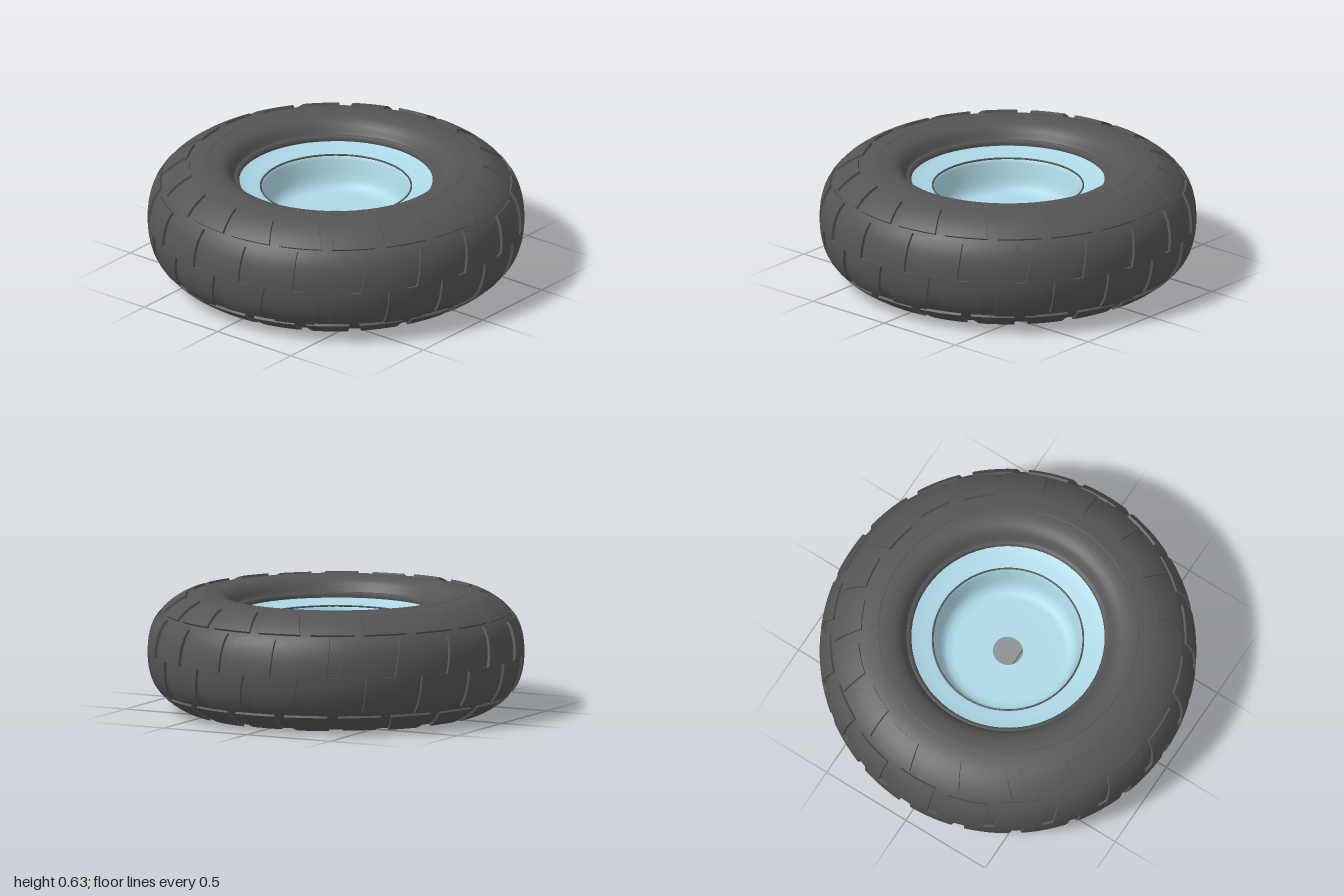
import * as THREE from 'three';
import { mergeGeometries } from 'three/addons/utils/BufferGeometryUtils.js';

const MID = 0.317; // height of the wheel's middle plane
const LIFT = 0.014; // how far the tread stands out
const rubber = new THREE.MeshStandardMaterial({ color: 0x555555, side: THREE.DoubleSide });
const paint = new THREE.MeshStandardMaterial({ color: 0xadd8e6, side: THREE.DoubleSide });

// Upper half of the tyre section: radius, height above the middle plane
const half = [[0.98, 0.08], [0.957, 0.155], [0.915, 0.212], [0.86, 0.258], [0.79, 0.295],
  [0.70, 0.314], [0.62, 0.311], [0.57, 0.285], [0.545, 0.245], [0.51, 0.2]];
const section = new THREE.SplineCurve([
  ...half.slice().reverse().map(([r, h]) => new THREE.Vector2(r, MID - h)),
  new THREE.Vector2(0.986, MID),
  ...half.map(([r, h]) => new THREE.Vector2(r, MID + h)),
]);

function add(group, name, geometry, material) {
  const mesh = new THREE.Mesh(geometry, material);
  mesh.name = name;
  group.add(mesh);
  return mesh;
}

// A box wrapped onto the tyre section between t0..t1, centred on an angle
function treadBlock(t0, t1, angle, width, skew, taper) {
  const geo = new THREE.BoxGeometry(1, 1, 1, 5, 6, 1);
  const pos = geo.attributes.position;
  for (let i = 0; i < pos.count; i++) {
    const v = pos.getY(i) + 0.5;
    const t = t0 + (t1 - t0) * v;
    const p = section.getPointAt(t);
    const d = section.getTangentAt(t);
    const top = pos.getZ(i) > 0;
    const lift = top ? LIFT : -0.03;
    const w = width * (1 - taper * v) * (top ? 0.96 : 1);
    const a = angle + pos.getX(i) * w + skew * v;
    const r = p.x + d.y * lift;
    pos.setXYZ(i, r * Math.sin(a), p.y - d.x * lift, r * Math.cos(a));
  }
  geo.computeVertexNormals();
  return geo;
}

function blockRing(count, t0, t1, offset, fill, skew, taper) {
  const pitch = (Math.PI * 2) / count;
  const blocks = [];
  for (let i = 0; i < count; i++) {
    // alternate blocks reach a little further
    const extra = i % 2 ? 0.012 : 0;
    blocks.push(treadBlock(t0, t1 + extra, (i + offset) * pitch, pitch * fill, skew, taper));
  }
  return mergeGeometries(blocks);
}

function ring(group, name, radius, tube, y, material) {
  const mesh = add(group, name, new THREE.TorusGeometry(radius, tube, 6, 64), material);
  mesh.rotation.x = Math.PI / 2;
  mesh.position.y = y;
}

// Turn a blocks geometry over about the middle plane, half a pitch along
function flipped(geo, turn) {
  return geo.rotateX(Math.PI).translate(0, MID * 2, 0).rotateY(turn);
}

export function createModel() {
  const wheel = new THREE.Group();
  wheel.name = 'wheel';

  // Tyre
  const tire = new THREE.Group();
  tire.name = 'tire';
  wheel.add(tire);
  add(tire, 'tireCarcass', new THREE.LatheGeometry(section.getSpacedPoints(60), 72), rubber);

  const N = 20;
  const turn = Math.PI / N;
  const centre = () => blockRing(N, 0.5, 0.638, 0, 0.86, 0.03, 0.12);
  const shoulder = () => blockRing(N, 0.662, 0.765, 0.5, 0.84, -0.02, 0.14);
  add(tire, 'upperCentreTread', centre(), rubber);
  add(tire, 'lowerCentreTread', flipped(centre(), turn), rubber);
  add(tire, 'upperShoulderTread', shoulder(), rubber);
  add(tire, 'lowerShoulderTread', flipped(shoulder(), turn), rubber);

  // Rim: floor with fillet, sloped barrel, flange; the same on both sides
  const rim = new THREE.Group();
  rim.name = 'rim';
  wheel.add(rim);
  const rimHalf = [[0.08, 0], [0.08, 0.008], [0.08, 0.008], [0.29, 0.008], [0.325, 0.014], [0.35, 0.032],
    [0.365, 0.062], [0.375, 0.1], [0.39, 0.165], [0.398, 0.184], [0.41, 0.19], [0.45, 0.195],
    [0.49, 0.204], [0.52, 0.215]];
  for (const side of [1, -1]) {
    const label = side > 0 ? 'upper' : 'lower';
    const pts = rimHalf.map(([r, h]) => new THREE.Vector2(r, MID - 0.005 + side * h));
    add(rim, label + 'Rim', new THREE.LatheGeometry(side > 0 ? pts : pts.reverse(), 60), paint);
    ring(rim, label + 'RimSeam', 0.4, 0.005, MID - 0.005 + side * 0.187, rubber);
    // Raised lines on the sidewall and at the bead
    ring(tire, label + 'SidewallLine', 0.69, 0.004, MID + side * 0.313, rubber);
    ring(tire, label + 'Bead', 0.535, 0.022, MID + side * 0.218, rubber);
  }
  return wheel;
}
